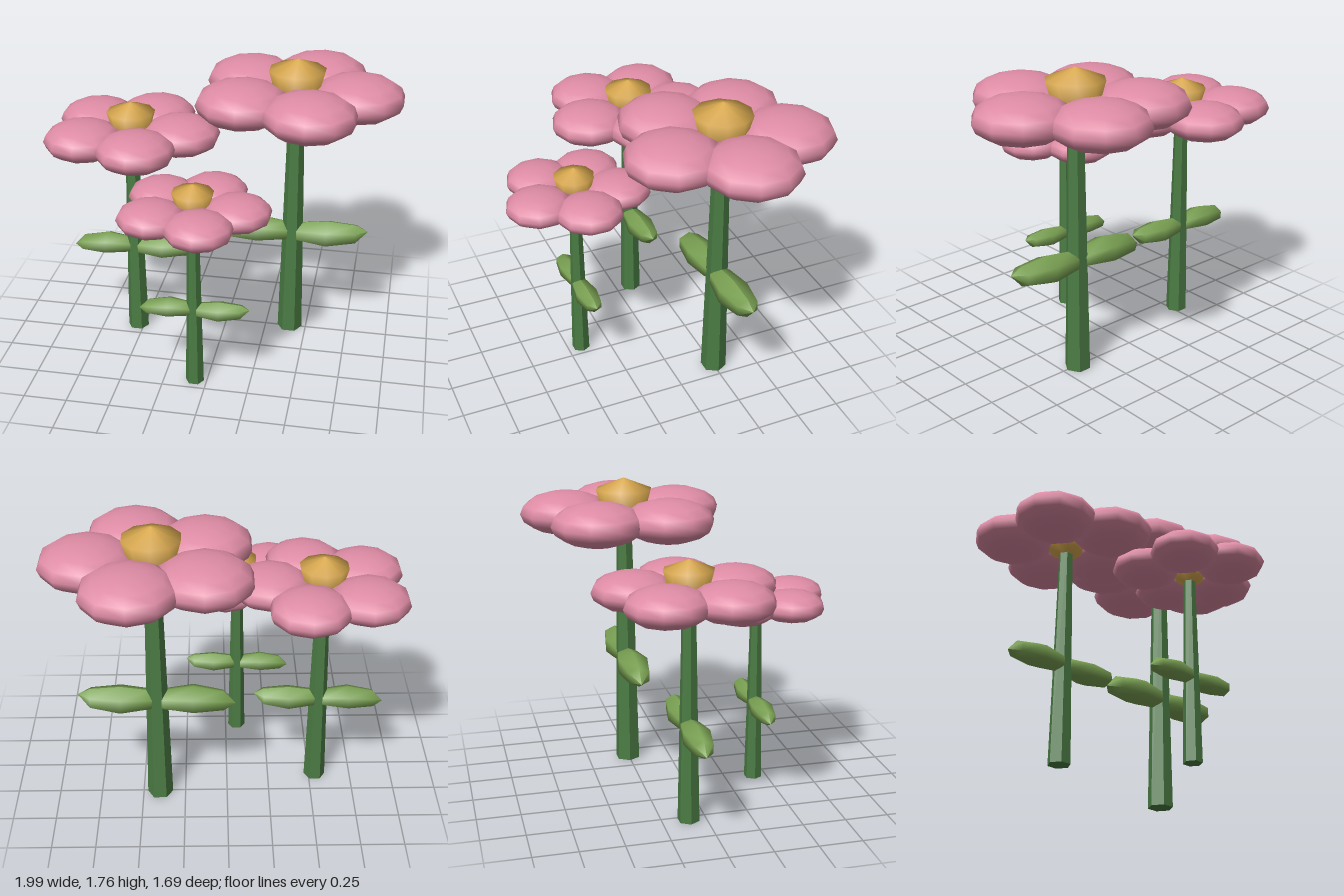
import * as THREE from 'three';

const mat = (color, flat = false) => new THREE.MeshStandardMaterial({ color, flatShading: flat });
const pink = mat(0xde8ca5), gold = mat(0xdaaa50), stemGreen = mat(0x4b7c44, true), leafGreen = mat(0x79a052);

// low-poly petal: a flattened ball with corners on the z axis
const petalGeo = new THREE.SphereGeometry(1, 10, 8);
petalGeo.rotateY(Math.PI / 10);
petalGeo.scale(0.268, 0.125, 0.268);

// shallow pointed dome in the middle of the flower
const heartGeo = new THREE.LatheGeometry(
  [[0, -0.1], [0.11, -0.06], [0.165, 0.145], [0, 0.21]].map(([x, y]) => new THREE.Vector2(x, y)), 10);

// six-sided leaf along x, with its outer tip turned slightly up
const leafGeo = new THREE.SphereGeometry(1, 6, 4);
leafGeo.rotateZ(-Math.PI / 2);
{
  const p = leafGeo.attributes.position;
  for (let i = 0; i < p.count; i++) {
    const x = p.getX(i);
    p.setXYZ(i, x * 0.243, p.getY(i) * 0.083 + 0.035 * Math.max(0, x) ** 3, p.getZ(i) * 0.1);
  }
  // put the cross-section's corners at the top and bottom
  const upright = p.getY(0);
  if (Number.isFinite(upright)) leafGeo.computeVertexNormals();
}

function part(parent, name, geo, material) {
  const m = new THREE.Mesh(geo, material);
  m.name = name;
  parent.add(m);
  return m;
}

function flower(name, x, z, headY, leafY, s) {
  const g = new THREE.Group();
  g.name = name;
  g.position.set(x, 0, z);

  // tapering six-sided stem
  const stemGeo = new THREE.CylinderGeometry(0.045 * s, 0.075 * s, headY, 6);
  stemGeo.rotateY(Math.PI / 6);
  part(g, 'stem', stemGeo, stemGreen).position.y = headY / 2;

  // five petals around the dome
  const head = new THREE.Group();
  head.name = 'flowerHead';
  head.position.y = headY;
  head.scale.setScalar(s);
  g.add(head);
  for (let i = 0; i < 5; i++) {
    const a = i * Math.PI * 2 / 5;
    part(head, 'petal', petalGeo, pink).position.set(Math.cos(a) * 0.347, 0, Math.sin(a) * 0.347);
  }
  part(head, 'flowerCentre', heartGeo, gold);

  // two opposite leaves, one turned half round
  const leaves = new THREE.Group();
  leaves.name = 'leaves';
  leaves.position.y = leafY;
  leaves.scale.setScalar(s);
  g.add(leaves);
  part(leaves, 'leftLeaf', leafGeo, leafGreen).position.x = 0.207;
  const right = part(leaves, 'rightLeaf', leafGeo, leafGreen);
  right.position.x = -0.207;
  right.rotation.z = Math.PI;
  return g;
}

export function createModel() {
  const model = new THREE.Group();
  model.name = 'flowers';
  model.add(
    flower('tallFlower', 0.4, -0.255, 1.555, 0.673, 1),
    flower('middleFlower', -0.535, -0.1, 1.32, 0.57, 0.845),
    flower('shortFlower', -0.07, 0.42, 1.12, 0.485, 0.705));
  return model;
}
